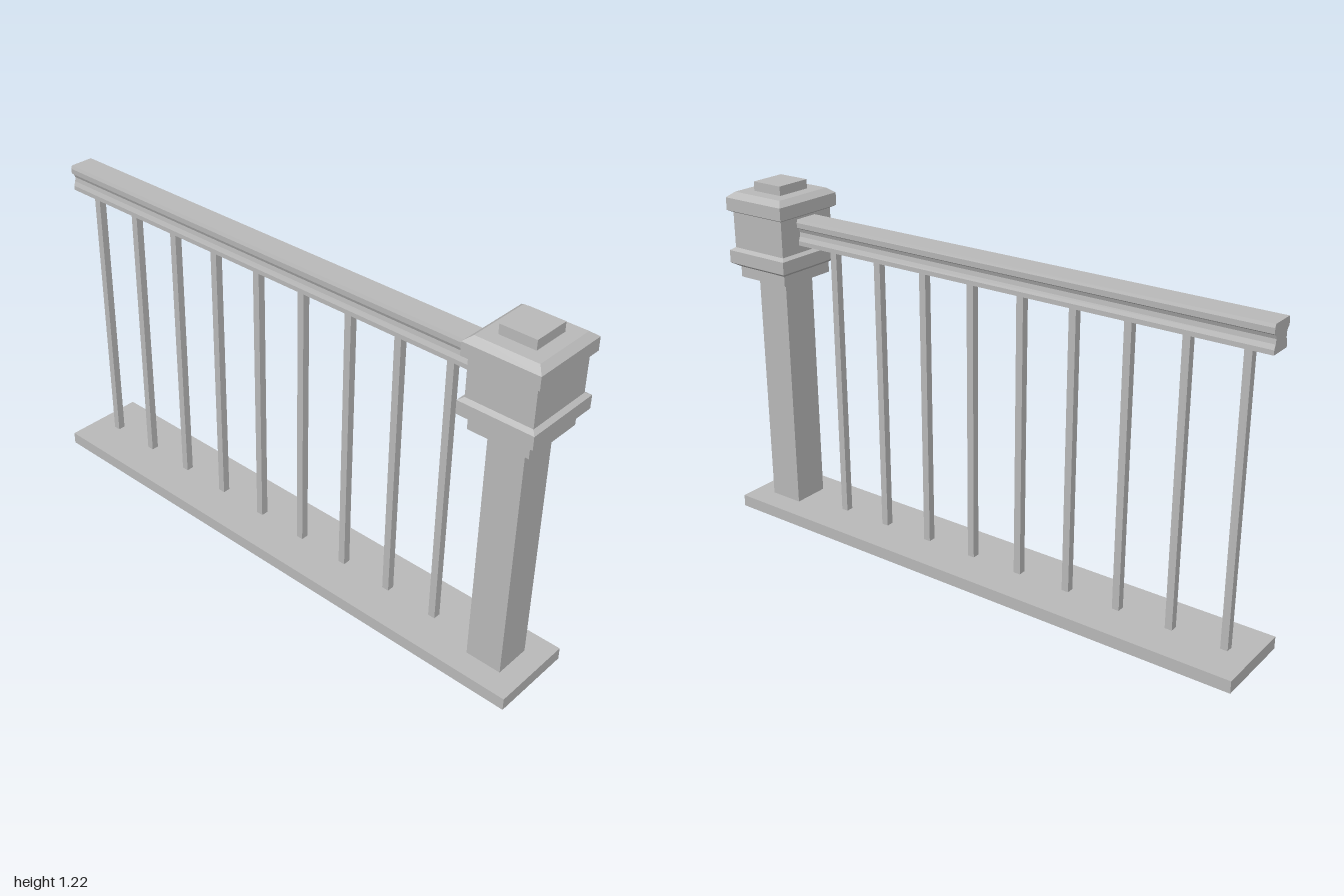
import * as THREE from 'three';

export function createModel() {
  const model = new THREE.Group();
  model.name = 'railing';
  const paint = new THREE.MeshStandardMaterial({ color: 0xb8b8b8 });
  paint.name = 'grey paint';
  paint.flatShading = true;

  const add = (name, geometry, x = 0, y = 0, z = 0) => {
    const mesh = new THREE.Mesh(geometry, paint);
    mesh.name = name;
    mesh.position.set(x, y, z);
    model.add(mesh);
    return mesh;
  };
  // Box given by its bottom and top heights
  const block = (name, w, bottom, top, d, x = 0) =>
    add(name, new THREE.BoxGeometry(w, top - bottom, d), x, (bottom + top) / 2);

  block('basePlate', 2, 0, 0.043, 0.294);

  // Newel post
  const postX = 0.863;
  block('post', 0.125, 0.043, 0.9, 0.13, postX);

  // Square moulded cap: [half depth, height], turned with four sides
  const capProfile = [
    [0, 0.888], [0.11, 0.888], [0.11, 0.925], [0.136, 0.941], [0.136, 0.985],
    [0.12, 0.994], [0.12, 1.118], [0.136, 1.126], [0.136, 1.17], [0.112, 1.188],
    [0.065, 1.188], [0.065, 1.22], [0, 1.22],
  ].map(([r, y]) => new THREE.Vector2(r * Math.SQRT2, y));
  const cap = add('postCap', new THREE.LatheGeometry(capProfile, 4, Math.PI / 4), postX);
  cap.scale.x = 0.93;

  // Handrail: mirrored half profile of [z, y], swept along x
  const half = [
    [0.04, 1.02], [0.04, 1.035], [0.034, 1.05], [0.032, 1.065],
    [0.037, 1.077], [0.045, 1.082], [0.046, 1.1], [0.042, 1.111],
  ];
  const outline = [...half, ...half.map(([z, y]) => [-z, y]).reverse()];
  const railShape = new THREE.Shape(outline.map(([z, y]) => new THREE.Vector2(z, y)));
  const rail = new THREE.ExtrudeGeometry(railShape, { depth: 1.75, bevelEnabled: false });
  rail.rotateY(Math.PI / 2);
  add('handrail', rail, -0.994);

  // Balusters
  for (let i = 0; i < 9; i++) {
    block('baluster', 0.025, 0.043, 1.022, 0.026, -0.907 + i * 0.191);
  }
  return model;
}
